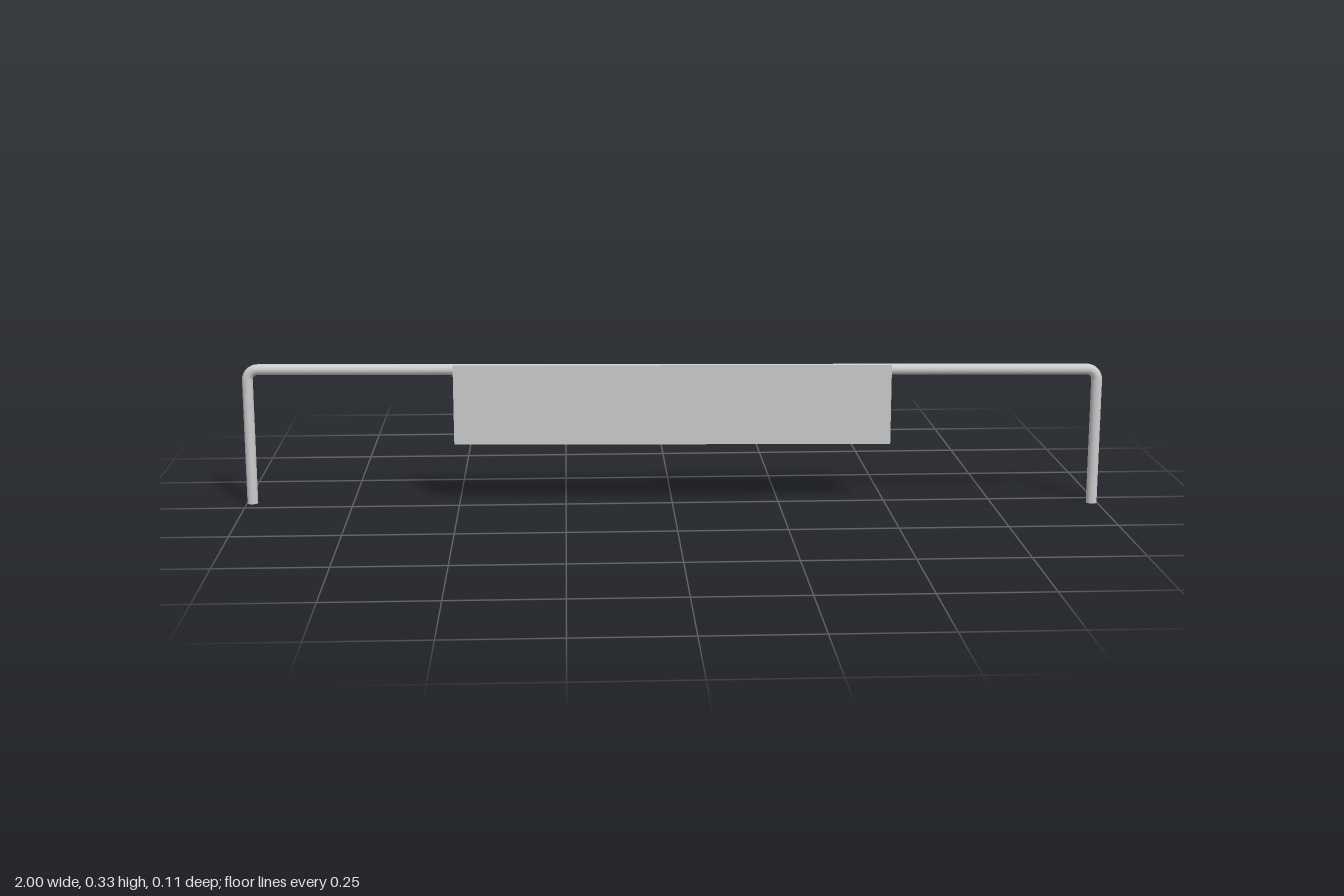
import * as THREE from 'three';

export function createModel() {
  const group = new THREE.Group();
  const metal = new THREE.MeshStandardMaterial({ color: 0xcccccc });
  const sheet = new THREE.MeshStandardMaterial({ color: 0xcccccc, side: THREE.DoubleSide });

  const r = 0.0125;     // tube radius
  const bend = 0.025;   // elbow radius
  const half = 0.988;   // leg distance from the centre
  const barY = 0.3205;  // height of the bar axis
  const sides = 24;

  const add = (name, geometry, x, y, z, material = metal) => {
    const mesh = new THREE.Mesh(geometry, material);
    mesh.name = name;
    mesh.position.set(x, y, z);
    group.add(mesh);
    return mesh;
  };

  // Horizontal bar
  const bar = new THREE.CylinderGeometry(r, r, 2 * (half - bend), sides, 1, true);
  add('bar', bar.rotateZ(Math.PI / 2), 0, barY, 0);

  // Legs and rounded elbows on both ends
  const legHeight = barY - bend;
  for (const [label, s] of [['left', 1], ['right', -1]]) {
    add(label + 'Leg', new THREE.CylinderGeometry(r, r, legHeight, sides), s * half, legHeight / 2, 0);
    const elbow = add(label + 'Elbow', new THREE.TorusGeometry(bend, r, sides, 10, Math.PI / 2),
      s * (half - bend), legHeight, 0);
    if (s < 0) elbow.rotation.y = Math.PI;
  }

  // Thin panel hung on the front of the bar
  add('panel', new THREE.PlaneGeometry(1.018, 0.188), 0, 0.239, 0.0155, sheet);

  // The whole rail stands slightly turned
  group.rotation.y = -Math.atan2(0.0442, 0.987);
  const model = new THREE.Group();
  group.name = 'rail';
  model.add(group);
  return model;
}
